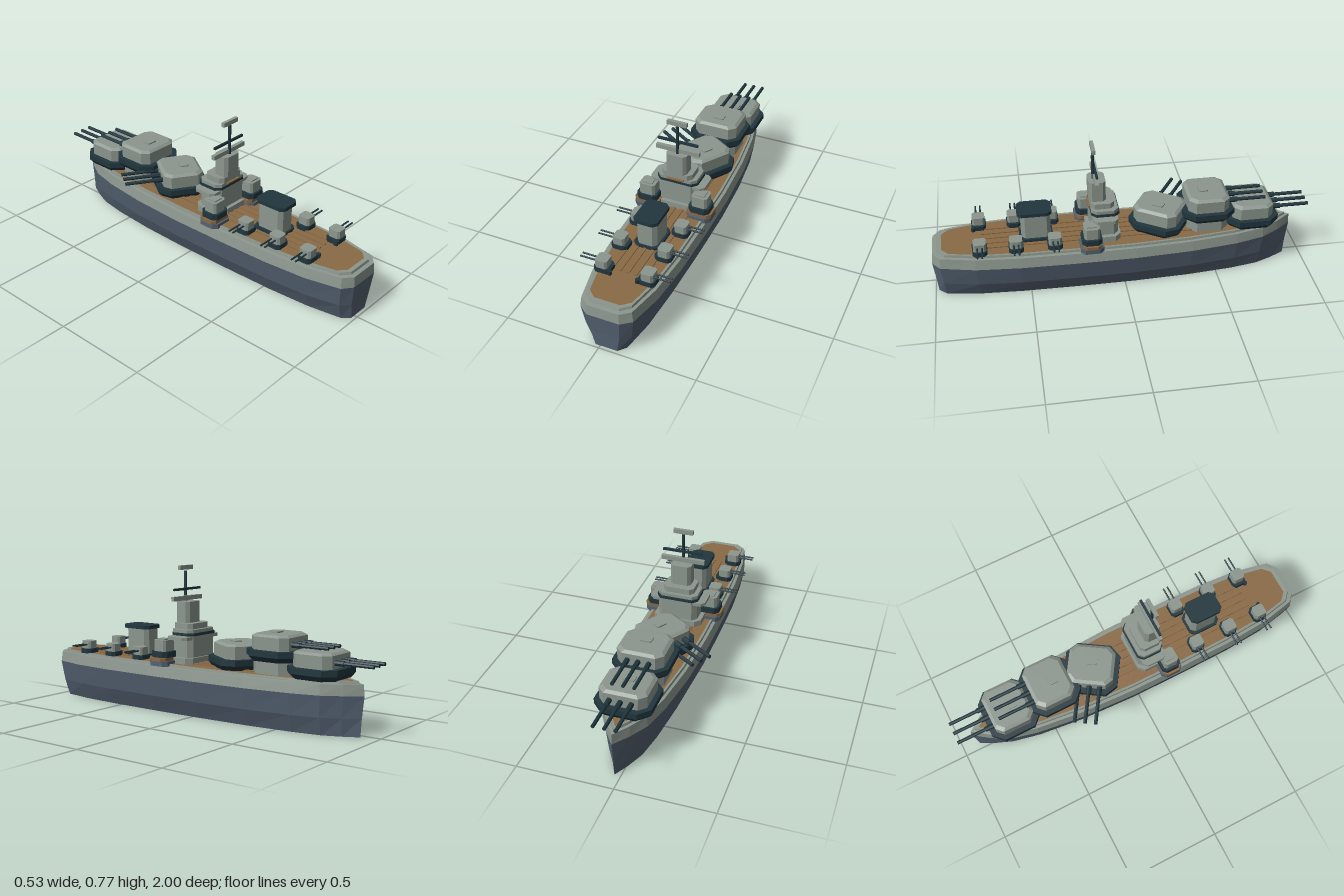
import * as THREE from 'three';

const CX = 0.032; // centreline of the ship
const paint = (name, color) => {
  const m = new THREE.MeshStandardMaterial({ color, flatShading: true, side: THREE.DoubleSide });
  m.name = name;
  return m;
};

// Skin between stacked rings of [x, y, z] points, with optional end caps
function loft(rings, capTop = true, capBottom = true) {
  const pos = [];
  const tri = (a, b, c) => pos.push(...a, ...b, ...c);
  const n = rings[0].length;
  const middle = r => [0, 1, 2].map(k => r.reduce((s, p) => s + p[k], 0) / n);
  for (let i = 0; i < n; i++) {
    const j = (i + 1) % n;
    for (let k = 0; k + 1 < rings.length; k++) {
      const a = rings[k], b = rings[k + 1];
      tri(a[i], a[j], b[j]);
      tri(a[i], b[j], b[i]);
    }
    const last = rings[rings.length - 1];
    if (capTop) tri(middle(last), last[i], last[j]);
    if (capBottom) tri(middle(rings[0]), rings[0][j], rings[0][i]);
  }
  const g = new THREE.BufferGeometry();
  g.setAttribute('position', new THREE.Float32BufferAttribute(pos, 3));
  g.computeVertexNormals();
  return g;
}

// Rectangle with cut corners, half sizes a and d, cut c
const octagon = (a, d, c, y) => [
  [-a + c, y, d], [a - c, y, d], [a, y, d - c], [a, y, -d + c],
  [a - c, y, -d], [-a + c, y, -d], [-a, y, -d + c], [-a, y, d - c],
];

export function createModel() {
  const slate = paint('hull slate', 0x546272);
  const grey = paint('ship grey', 0x8c978e);
  const wood = paint('deck wood', 0x8a6a45);
  const dark = paint('dark steel', 0x21363e);

  const model = new THREE.Group();
  model.name = 'battleship';
  const ship = new THREE.Group();
  ship.name = 'ship';
  ship.position.x = CX;
  model.add(ship);

  const add = (parent, name, geo, mat, x = 0, y = 0, z = 0) => {
    const m = new THREE.Mesh(geo, mat);
    m.name = name;
    m.position.set(x, y, z);
    parent.add(m);
    return m;
  };
  const box = (p, name, mat, w, h, d, x, y, z) =>
    add(p, name, new THREE.BoxGeometry(w, h, d), mat, x, y, z);
  // Cut-corner block from y0 to y1
  const block = (p, name, mat, a, d, c, y0, y1, x = 0, z = 0) =>
    add(p, name, loft([octagon(a, d, c, y0), octagon(a, d, c, y1)]), mat, x, 0, z);
  // Gun barrel along -z, from z0 to z1
  const barrel = (p, name, r, x, y, z0, z1) => {
    const g = new THREE.CylinderGeometry(r, r, Math.abs(z1 - z0), 8).rotateX(Math.PI / 2);
    return add(p, name, g, dark, x, y, (z0 + z1) / 2);
  };

  // Hull: one plan outline, scaled for each level
  const half = [[0.085, 1], [0.137, 0.96], [0.178, 0.78], [0.196, 0.55], [0.201, 0.25], [0.2, -0.05],
    [0.184, -0.35], [0.152, -0.6], [0.115, -0.75], [0.06, -0.845]];
  const outline = [...half, [0, -0.925], ...half.slice().reverse().map(([x, z]) => [-x, z])];
  const level = (y, sx, sz) => outline.map(([x, z]) => [x * sx, y, 0.04 + (z - 0.04) * sz]);
  const waterline = level(0.2, 1, 1);
  const deckEdge = level(0.268, 0.8, 0.945);
  add(ship, 'lowerHull', loft([level(0, 0.67, 0.982), level(0.09, 0.885, 0.988), waterline], false, false), slate);
  add(ship, 'upperHull', loft([waterline, level(0.255, 0.95, 0.995), level(0.256, 0.87, 0.972),
    level(0.269, 0.86, 0.968), deckEdge], false, false), grey);
  add(ship, 'deck', loft([deckEdge], true, false), wood);
  for (let i = -2; i <= 2; i++)
    box(ship, 'deckPlank', wood, 0.018, 0.006, 1.22, i * 0.042, 0.27, 0.13);

  // Main turrets, guns towards -z before turning
  function turret(name, z, y, turn) {
    const t = new THREE.Group();
    t.name = name;
    t.position.set(0, y, z);
    t.rotation.y = turn;
    ship.add(t);
    add(t, 'turretRing', loft([octagon(0.125, 0.12, 0.05, -0.006), octagon(0.145, 0.138, 0.055, 0.02),
      octagon(0.145, 0.138, 0.055, 0.05)]), dark);
    add(t, 'turretHouse', loft([octagon(0.12, 0.108, 0.035, 0.05), octagon(0.122, 0.108, 0.035, 0.115),
      octagon(0.106, 0.092, 0.032, 0.126)]), grey);
    block(t, 'turretHatch', grey, 0.03, 0.024, 0.006, 0.126, 0.133, 0, 0.02);
    for (const x of [-0.055, 0, 0.055]) {
      barrel(t, 'gunSleeve', 0.014, x, 0.08, -0.1, -0.155);
      barrel(t, 'gunBarrel', 0.0095, x, 0.08, -0.1, -0.31);
    }
  }
  turret('bowTurret', -0.69, 0.273, 0);
  block(ship, 'barbette', grey, 0.115, 0.11, 0.045, 0.262, 0.335, 0, -0.45);
  turret('raisedTurret', -0.45, 0.337, 0);
  turret('turnedTurret', -0.205, 0.273, 1.0);

  // Bridge tower
  const tower = new THREE.Group();
  tower.name = 'bridgeTower';
  ship.add(tower);
  block(tower, 'towerFoot', grey, 0.13, 0.085, 0.03, 0.262, 0.3, 0, 0.105);
  block(tower, 'towerBody', grey, 0.107, 0.07, 0.025, 0.3, 0.445, 0, 0.1);
  block(tower, 'bridgeWings', grey, 0.15, 0.065, 0.02, 0.393, 0.41, 0, 0.1);
  block(tower, 'bridgeWindows', dark, 0.112, 0.074, 0.026, 0.414, 0.428, 0, 0.097);
  block(tower, 'bridgeRoof', grey, 0.083, 0.06, 0.02, 0.445, 0.475, 0, 0.11);
  block(tower, 'upperTower', grey, 0.056, 0.044, 0.016, 0.475, 0.586, 0, 0.132);
  box(tower, 'lookoutFloor', wood, 0.09, 0.007, 0.02, 0, 0.441, 0.172);
  add(tower, 'mast', new THREE.CylinderGeometry(0.008, 0.008, 0.16, 8), dark, 0, 0.666, 0.148);
  box(tower, 'yardArm', dark, 0.217, 0.012, 0.012, 0, 0.65, 0.14);
  box(tower, 'lowerAerial', grey, 0.236, 0.023, 0.02, 0, 0.602, 0.14);
  box(tower, 'topAerial', grey, 0.106, 0.023, 0.018, 0, 0.763, 0.148);

  // Funnel
  const funnel = new THREE.Group();
  funnel.name = 'funnel';
  ship.add(funnel);
  block(funnel, 'funnelFoot', dark, 0.068, 0.088, 0.022, 0.266, 0.282, 0, 0.455);
  block(funnel, 'funnelTrunk', grey, 0.054, 0.077, 0.02, 0.282, 0.418, 0, 0.455);
  block(funnel, 'funnelCap', dark, 0.064, 0.09, 0.022, 0.418, 0.437, 0, 0.46);

  for (const s of [-1, 1]) {
    // Side sponsons beside the tower
    const sponson = new THREE.Group();
    sponson.name = s > 0 ? 'leftSponson' : 'rightSponson';
    sponson.position.set(s * 0.145, 0, 0.178);
    ship.add(sponson);
    block(sponson, 'sponsonBase', slate, 0.065, 0.06, 0.022, 0.258, 0.284);
    block(sponson, 'sponsonFloor', wood, 0.068, 0.05, 0.02, 0.284, 0.302);
    block(sponson, 'sponsonCollar', dark, 0.056, 0.052, 0.02, 0.302, 0.333);
    block(sponson, 'sponsonHouse', grey, 0.043, 0.04, 0.012, 0.333, 0.392);
    box(sponson, 'sponsonRoof', grey, 0.05, 0.008, 0.05, 0, 0.394, 0);

    // Twin light guns facing outboard
    for (const z of [0.75, 0.565, 0.365]) {
      const gun = new THREE.Group();
      gun.name = 'lightGun';
      gun.position.set(s * 0.12, 0, z);
      gun.rotation.y = -s * Math.PI / 2;
      ship.add(gun);
      block(gun, 'gunRing', dark, 0.038, 0.044, 0.015, 0.266, 0.292, 0, 0.004);
      block(gun, 'gunHouse', grey, 0.033, 0.032, 0.01, 0.292, 0.334);
      for (const x of [-0.012, 0.012]) barrel(gun, 'lightBarrel', 0.0045, x, 0.315, -0.02, -0.116);
    }

    // Mooring posts at the stern
    add(ship, 'mooringPost', new THREE.CylinderGeometry(0.011, 0.011, 0.022, 8), dark, s * 0.073, 0.279, 0.78);
  }
  return model;
}
